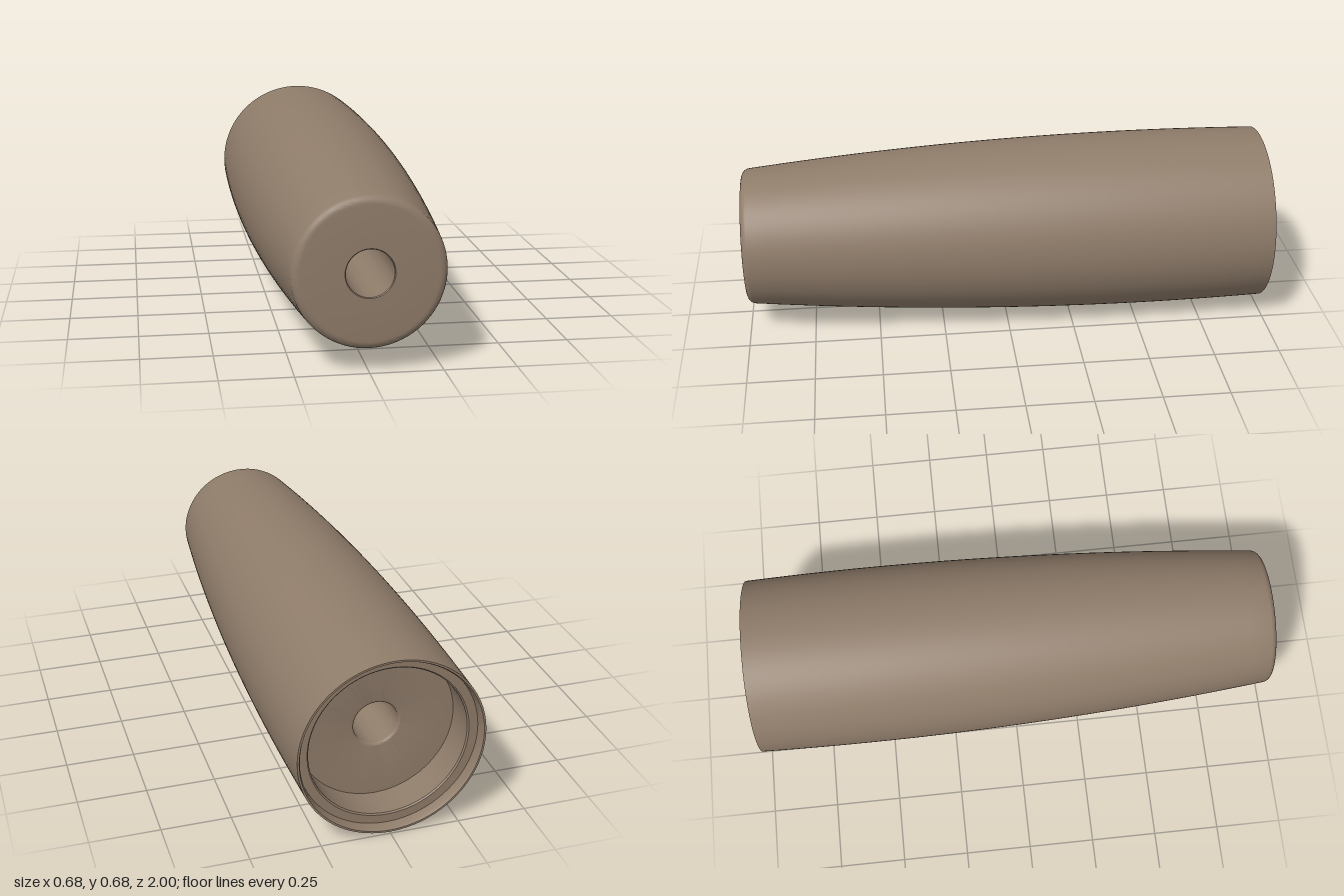
import * as THREE from 'three';
import { toCreasedNormals } from 'three/addons/utils/BufferGeometryUtils.js';

const AXIS_HEIGHT = 0.341;

// Gently barrelled outer radius along the handle
const outerRadius = (z) => 0.341 - 0.0345 * (z + 0.55) ** 2;

// Quarter-round between two angles, as profile points (radius, z)
function fillet(cr, cz, radius, from, to, steps = 6) {
  return Array.from({ length: steps + 1 }, (_, i) => {
    const a = from + ((to - from) * i) / steps;
    return new THREE.Vector2(cr + radius * Math.cos(a), cz + radius * Math.sin(a));
  });
}

export function createModel() {
  const group = new THREE.Group();
  group.name = 'handle';
  const p = (r, z) => new THREE.Vector2(r, z);
  const profile = [];

  // Outer wall, back to front
  const round = 0.03;
  for (let i = 0; i <= 28; i++) {
    const z = -1 + ((2 - round) * i) / 28;
    profile.push(p(outerRadius(z), z));
  }
  // Rounded front edge and front face
  const frontRadius = outerRadius(1 - round);
  profile.push(...fillet(frontRadius - round, 1 - round, round, 0, Math.PI / 2).slice(1));
  // Through bore with softened mouths
  profile.push(p(0.084, 1), p(0.081, 0.997));
  profile.push(...fillet(0.091, -0.82, 0.01, Math.PI, Math.PI * 1.5, 4));
  // Deep recess floor, its wall, the shallow step and the thin back rim
  profile.push(p(0.283, -0.83), p(0.283, -0.955), p(0.288, -0.96));
  profile.push(p(0.32, -0.96), p(0.322, -0.99), p(0.327, -1), p(outerRadius(-1), -1));

  const lathe = new THREE.LatheGeometry(profile, 96);
  lathe.rotateX(Math.PI / 2);
  const body = new THREE.Mesh(
    toCreasedNormals(lathe, Math.PI / 6),
    new THREE.MeshStandardMaterial({ color: 0x8f7c6a })
  );
  body.name = 'handleBody';
  body.position.y = AXIS_HEIGHT;
  group.add(body);
  return group;
}
